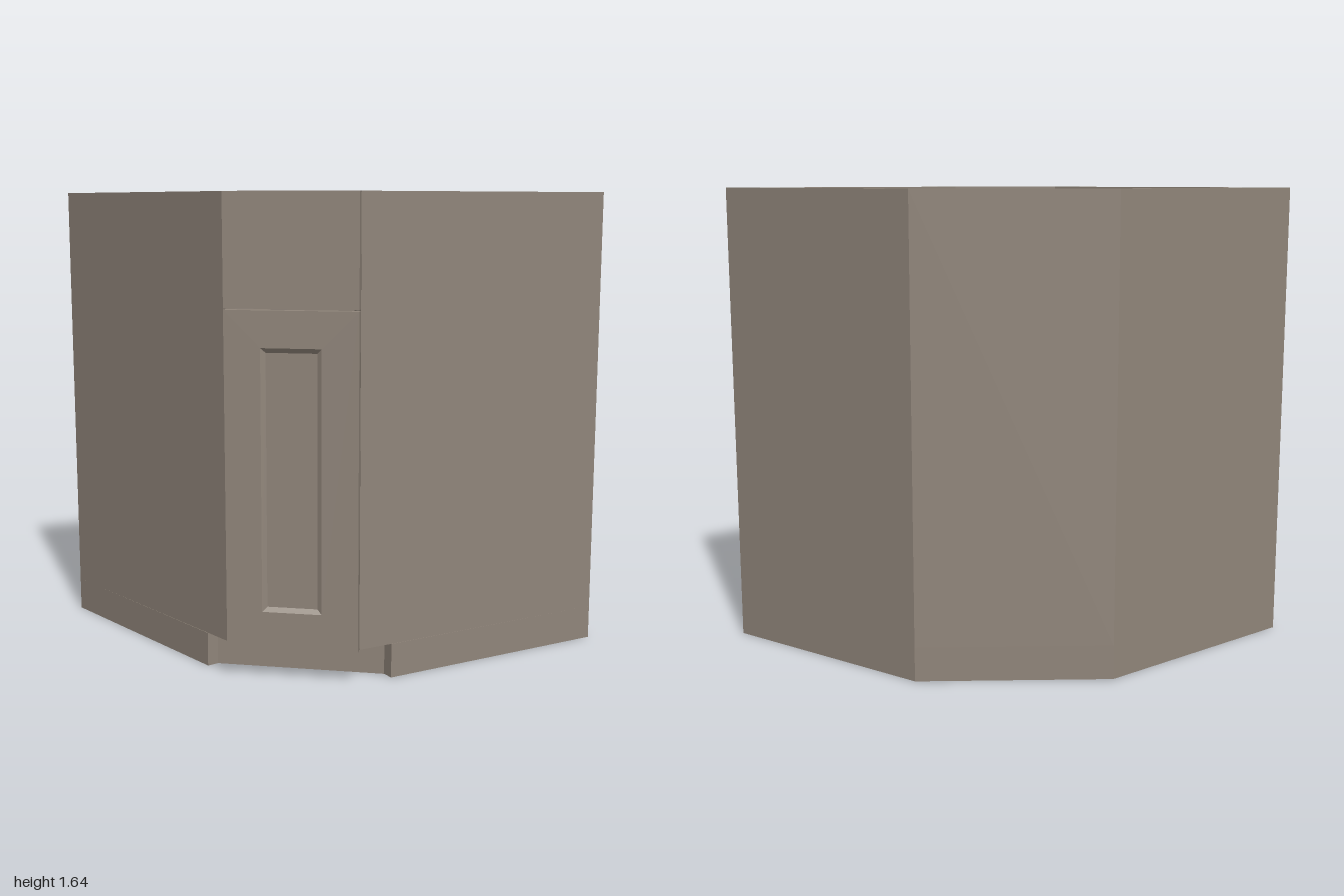
import * as THREE from 'three';

const material = new THREE.MeshStandardMaterial({ color: 0x91867b, flatShading: true });

const HEIGHT = 1.645;
const KICK = 0.12;

// Right half of a plan outline (back to front) mirrored into a closed outline
function mirrored(half) {
  return [...half, ...half.map(([x, z]) => [-x, z]).reverse()];
}

// Extrude a plan outline of [x, z] points between two heights
function planSolid(name, points, y0, y1) {
  const shape = new THREE.Shape(points.map(([x, z]) => new THREE.Vector2(x, -z)));
  const geometry = new THREE.ExtrudeGeometry(shape, { depth: y1 - y0, bevelEnabled: false });
  geometry.rotateX(-Math.PI / 2);
  geometry.translate(0, y0, 0);
  const mesh = new THREE.Mesh(geometry, material);
  mesh.name = name;
  return mesh;
}

// Skin a run of rectangles [halfWidth, bottom, top, z], capped at both ends
function rectLoft(name, rects) {
  const loops = rects.map(([w, b, t, z]) => [[-w, b, z], [w, b, z], [w, t, z], [-w, t, z]]);
  const positions = [];
  const quad = (a, b, c, d) => positions.push(...a, ...b, ...c, ...a, ...c, ...d);
  quad(...loops[0]);
  for (let i = 0; i < loops.length - 1; i++) {
    const p = loops[i], q = loops[i + 1];
    for (let k = 0; k < 4; k++) {
      const n = (k + 1) % 4;
      quad(p[k], q[k], q[n], p[n]);
    }
  }
  quad(...loops[loops.length - 1].slice().reverse());
  const geometry = new THREE.BufferGeometry();
  geometry.setAttribute('position', new THREE.Float32BufferAttribute(positions, 3));
  geometry.computeVertexNormals();
  const mesh = new THREE.Mesh(geometry, material);
  mesh.name = name;
  return mesh;
}

export function createModel() {
  const cabinet = new THREE.Group();
  cabinet.name = 'cornerCabinet';

  // Half outlines of the carcass, outside and inside
  const outer = [[0.337, -0.573], [1, -0.085], [0.225, 0.537]];
  const inner = [[0.325, -0.535], [0.933, -0.085], [0.199, 0.506]];

  // Walls: one bent strip, open at the front
  const outside = [...outer].reverse().concat(outer.map(([x, z]) => [-x, z]));
  const inside = [...inner].reverse().concat(inner.map(([x, z]) => [-x, z]));
  cabinet.add(planSolid('walls', [...outside, ...inside.reverse()], KICK, HEIGHT));

  // Plinth, set back at the front for the toe space
  const plinth = mirrored([outer[0], outer[1], [0.324, 0.46], [0.296, 0.43]]);
  cabinet.add(planSolid('plinth', plinth, 0, KICK));

  // Floor, reaching the front edge of the walls
  cabinet.add(planSolid('floor', mirrored(inner), KICK, KICK + 0.04));

  // Door with a sunken panel on both faces
  const zBack = 0.541, zFront = 0.572, sink = 0.01;
  const frame = [0.225, KICK, 1.263];
  const opening = [0.102, 0.246, 1.14];
  const panel = [0.086, 0.262, 1.124];
  cabinet.add(rectLoft('door', [
    [...panel, zFront - sink],
    [...opening, zFront],
    [...frame, zFront],
    [...frame, zBack],
    [...opening, zBack],
    [...panel, zBack + sink],
  ]));

  // Plain drawer front above the door
  const drawer = [0.225, 1.268, HEIGHT];
  cabinet.add(rectLoft('drawerFront', [[...drawer, zFront], [...drawer, zBack]]));

  return cabinet;
}
